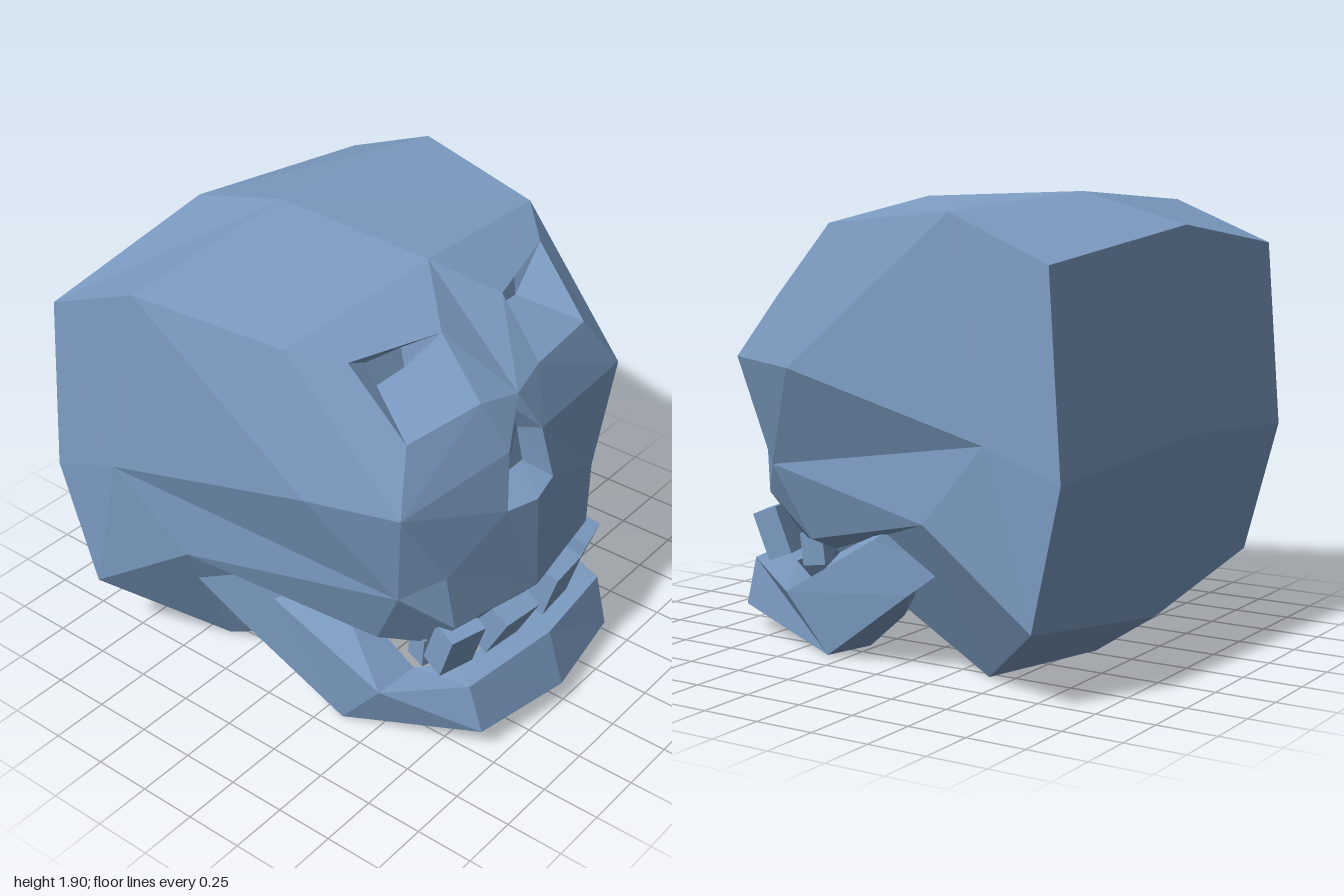
import * as THREE from 'three';

// Points as [x, y, z on the +z half, z on the -z half]; the face looks along +x.
const P = {
  // crown, back and base midline
  crownBack: [-.95, 1.78, .04, .04], crownTop: [-.48, 1.905, .04, .04], crownFront: [.27, 1.875, .03, .03],
  backMid: [-1, .95, .04, .04], napeMid: [-.83, .18, .04, .04], baseMid: [-.56, 0, .04, .04],
  palateBack: [.45, .41, .05, .05], gumMid: [.72, .42, .06, .06], lipMid: [.89, .61, .08, .08],
  // sides
  T0: [-.9, 1.67, .94, -.94], T1: [-.46, 1.85, .93, -.92], T2: [.19, 1.79, .8, -.78],
  back: [-.96, .88, .95, -.95], nape: [-.82, .31, .92, -.92], base: [-.4, 0, .55, -.54],
  S0: [-.63, 1, .95, -.95], S1: [.34, 1.22, .88, -.87], S2: [-.31, .66, .875, -.875], S3: [.64, .77, .68, -.59],
  temple: [.72, 1.23, .77, -.71], cheek: [.79, .88, .57, -.44], lip: [.8, .61, .52, -.41],
  Q: [.48, .46, .61, -.54], F: [.42, .41, .5, -.45], gum: [.66, .42, .45, -.35],
  // eye socket rim and floor
  A: [.37, 1.73, .645, -.6], B: [.505, 1.73, .25, -.145], C: [.72, 1.51, .28, -.105], D: [.64, 1.47, .635, -.545],
  a: [.35, 1.665, .52, -.445], b: [.38, 1.66, .34, -.24], c: [.4, 1.58, .345, -.235], d: [.38, 1.56, .525, -.42],
  // nose cavity rim and floor
  N0: [.76, 1.48, .09, .09], N1: [.82, 1.3, .22, 0], N2: [.855, 1.06, .265, -.045], N3: [.89, 1.05, .11, .11],
  n0: [.72, 1.42, .1, .1], n1: [.72, 1.28, .19, .03], n2: [.74, 1.12, .23, .01], n3: [.74, 1.12, .11, .11],
};

const CRANIUM = [
  'T0 T1 crownTop crownBack', 'T1 T2 crownFront crownTop',
  'backMid back T0 crownBack', 'napeMid nape back backMid', 'baseMid base nape napeMid',
  'baseMid palateBack F base',
  'T0 back S0', 'T0 S0 T1', 'T1 S0 S1', 'T1 S1 T2', 'T2 S1 temple',
  'S0 S3 S1', 'S1 S3 temple', 'S0 S2 S3', 'back nape S0', 'nape S2 S0', 'nape base S2',
  'S2 base F', 'S2 F Q', 'S2 Q S3',
];
const FACE = [
  'S3 cheek temple', 'S3 lip cheek', 'S3 Q gum lip', 'Q F gum',
  'palateBack gumMid gum F', 'gum gumMid lipMid lip',
  'crownFront T2 A B', 'T2 temple D A', 'temple C D', 'crownFront B N0', 'B C N0',
  'C N1 N0', 'C temple N1', 'temple cheek N2 N1', 'cheek lip lipMid', 'cheek lipMid N2', 'N2 lipMid N3',
];
const SOCKET = ['a d c b', 'A a b B', 'B b c C', 'C c d D', 'D d a A'];
const NOSE = ['n0 n1 n2 n3', 'N0 N1 n1 n0', 'N1 N2 n2 n1', 'N2 N3 n3 n2'];

// Flat-faced geometry from polygons of [x, y, z] corners
function facets(polys) {
  const pos = [];
  for (const p of polys)
    for (let i = 1; i < p.length - 1; i++) pos.push(...p[0], ...p[i], ...p[i + 1]);
  const g = new THREE.BufferGeometry();
  g.setAttribute('position', new THREE.Float32BufferAttribute(pos, 3));
  g.computeVertexNormals();
  return g;
}

// Both halves of a list of named polygons
function bothHalves(list) {
  const polys = [];
  for (const half of [0, 1])
    for (const f of list) {
      const poly = f.split(' ').map(k => [P[k][0], P[k][1], P[k][2 + half]]);
      polys.push(half ? poly.reverse() : poly);
    }
  return facets(polys);
}

// Jaw cross-sections, hinge to chin: outer top, outer bottom, inner bottom, inner top
const JAW = [
  [[-.085, .61, .775], [-.34, .475, .79], [-.15, .42, .64], [0, .64, .765]],
  [[.05, .53, .75], [-.13, .33, .76], [0, .2, .6], [.19, .585, .54]],
  [[.545, .245, .68], [.34, 0, .67], [.28, 0, .45], [.56, .25, .47]],
  [[.86, .32, .49], [.92, .105, .48], [.8, .07, .38], [.72, .3, .38]],
  [[.925, .34, .02], [1, .1, .02], [.84, .05, .02], [.78, .31, .02]],
];

function jawGeometry() {
  const mirrored = JAW.slice(0, -1).reverse().map(s => s.map(([x, y, z]) => [x, y, .05 - z]));
  const rings = [...JAW, ...mirrored];
  const polys = [];
  for (let i = 0; i < rings.length - 1; i++)
    for (let k = 0; k < 4; k++) {
      const n = (k + 1) % 4;
      polys.push([rings[i][k], rings[i][n], rings[i + 1][n], rings[i + 1][k]]);
    }
  polys.push([...rings[0]].reverse(), rings[rings.length - 1]);
  return facets(polys);
}

export function createModel() {
  const group = new THREE.Group();
  const bone = new THREE.MeshStandardMaterial({ color: 0x7d9dc4 });
  bone.name = 'blue bone';
  const add = (name, geometry) => {
    const m = new THREE.Mesh(geometry, bone);
    m.name = name;
    group.add(m);
    return m;
  };

  add('cranium', bothHalves(CRANIUM));
  add('face', bothHalves(FACE));
  add('eyeSockets', bothHalves(SOCKET));
  add('noseCavity', bothHalves(NOSE));
  add('lowerJaw', jawGeometry());

  // Upper teeth: centre, size, tilt back, turn
  const teeth = [
    [[.75, .47, .45], [.11, .23, .17], -.35, -.25],
    [[.81, .47, .2], [.12, .23, .2], -.5, -.1],
    [[.82, .47, -.14], [.1, .21, .21], -.3, .1],
    [[.74, .45, -.42], [.11, .21, .17], -.35, .25],
    [[.6, .38, .42], [.1, .14, .13], -.1, -.3],
    [[.6, .38, -.34], [.1, .14, .13], -.1, .3],
  ];
  teeth.forEach(([p, s, tilt, turn], i) => {
    const t = add('tooth' + (i + 1), new THREE.BoxGeometry(...s));
    t.position.set(...p);
    t.rotation.set(0, turn, tilt);
  });
  return group;
}
